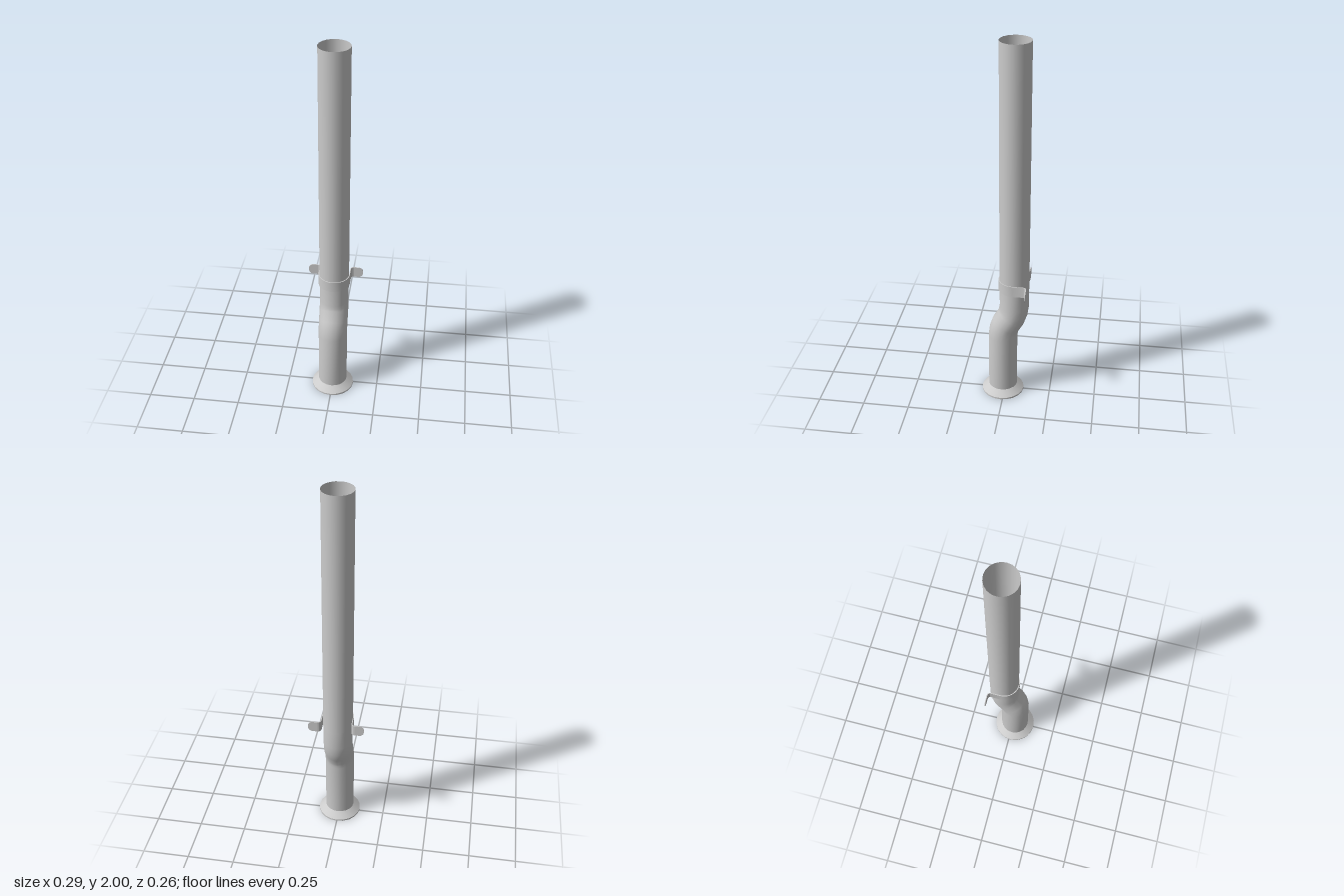
import * as THREE from 'three';
import { toCreasedNormals } from 'three/addons/utils/BufferGeometryUtils.js';

const SIDES = 20;
const LOWER_Z = 0.011, UPPER_Z = -0.05;
const RAD = Math.PI / 180;

export function createModel() {
  const group = new THREE.Group();
  const material = new THREE.MeshStandardMaterial({ color: 0xcccccc, side: THREE.DoubleSide });
  const add = (name, geometry, x = 0, y = 0, z = 0) => {
    const mesh = new THREE.Mesh(geometry, material);
    mesh.name = name;
    mesh.position.set(x, y, z);
    group.add(mesh);
    return mesh;
  };

  // Straight upper pipe, open at both ends
  const top = 2, bottom = 0.66;
  add('upperPipe', new THREE.CylinderGeometry(0.0795, 0.0795, top - bottom, SIDES, 1, true),
    0, (top + bottom) / 2, UPPER_Z);

  // Offset lower pipe: rings of [y, z, tilt in degrees], from top to bottom
  const rings = [
    [0.7, UPPER_Z, 0], [0.553, UPPER_Z, 0], [0.517, -0.045, 15], [0.483, -0.035, 30],
    [0.43, -0.004, 30], [0.396, 0.006, 15], [0.36, LOWER_Z, 0], [0.038, LOWER_Z, 0],
  ];
  const bend = new THREE.CylinderGeometry(0.0785, 0.0785, 1, SIDES, rings.length - 1, true);
  const p = bend.attributes.position;
  for (let i = 0; i < p.count; i++) {
    const [y, z, tilt] = rings[Math.floor(i / (SIDES + 1))];
    const d = p.getZ(i);
    p.setXYZ(i, p.getX(i), y + d * Math.sin(tilt * RAD), z + d * Math.cos(tilt * RAD));
  }
  add('offsetPipe', toCreasedNormals(bend, 0.7));

  // Flared foot collar with a thin rim, open underneath
  const profile = [[0.115, 0], [0.115, 0.009], [0.0785, 0.04]].map(([r, y]) => new THREE.Vector2(r, y));
  add('footCollar', toCreasedNormals(new THREE.LatheGeometry(profile, SIDES), 0.6), 0, 0, LOWER_Z);

  // Clamp strap: drawn from above (shape y becomes z) and extruded downward
  const height = 0.06, clampTop = 0.715;
  const earX = 0.098, bendZ = -0.105, outer = 0.084, inner = 0.0795;
  const frontR = earX - outer, backR = earX - inner;
  const strap = new THREE.Shape();
  strap.moveTo(earX, bendZ - frontR);
  strap.absarc(earX, bendZ, frontR, -Math.PI / 2, -Math.PI, true);
  strap.lineTo(outer, UPPER_Z);
  strap.absarc(0, UPPER_Z, outer, 0, Math.PI, false);
  strap.lineTo(-outer, bendZ);
  strap.absarc(-earX, bendZ, frontR, 0, -Math.PI / 2, true);
  strap.lineTo(-earX, bendZ - backR);
  strap.absarc(-earX, bendZ, backR, -Math.PI / 2, 0, false);
  strap.lineTo(-inner, UPPER_Z);
  strap.absarc(0, UPPER_Z, inner, Math.PI, 0, true);
  strap.lineTo(inner, bendZ);
  strap.absarc(earX, bendZ, backR, -Math.PI, -Math.PI / 2, false);
  const strapGeo = new THREE.ExtrudeGeometry(strap, { depth: height, bevelEnabled: false, curveSegments: 10 });
  strapGeo.rotateX(Math.PI / 2);
  add('clampStrap', toCreasedNormals(strapGeo, 0.6), 0, clampTop, 0);

  // Flat mounting ears with rounded outer corners
  const tip = 0.147, corner = 0.024, h = height / 2;
  const ear = new THREE.Shape();
  ear.moveTo(earX, -h);
  ear.lineTo(tip - corner, -h);
  ear.absarc(tip - corner, -h + corner, corner, -Math.PI / 2, 0, false);
  ear.absarc(tip - corner, h - corner, corner, 0, Math.PI / 2, false);
  ear.lineTo(earX, h);
  const earGeo = toCreasedNormals(
    new THREE.ExtrudeGeometry(ear, { depth: backR - frontR, bevelEnabled: false, curveSegments: 4 }), 0.6);
  const thickness = backR - frontR;
  add('leftEar', earGeo, 0, clampTop - h, bendZ - backR);
  add('rightEar', earGeo, 0, clampTop - h, bendZ - backR + thickness).rotation.y = Math.PI;

  return group;
}
